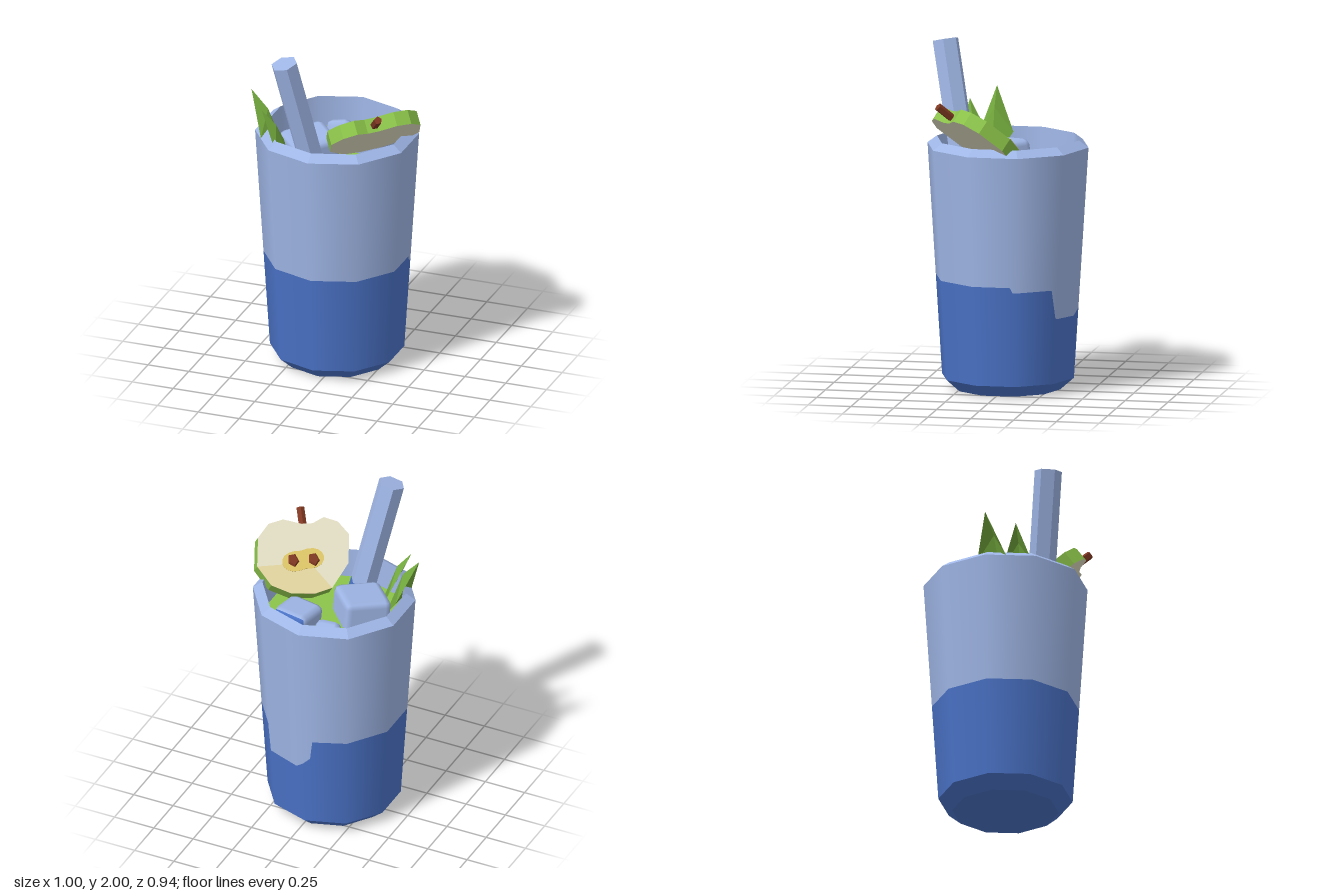
import * as THREE from 'three';
import { RoundedBoxGeometry } from 'three/addons/geometries/RoundedBoxGeometry.js';

const mat = (name, color, both) => {
  const m = new THREE.MeshStandardMaterial({ color });
  m.name = name;
  if (both) m.side = THREE.DoubleSide;
  return m;
};
const MAT = {
  glass: mat('pale blue', 0x9fb6e6, true),
  deep: mat('deep blue', 0x4a72c6, true),
  green: mat('apple green', 0x8bc34a),
  leaf: mat('leaf green', 0x72a83c, true),
  cream: mat('cream flesh', 0xe4e1c6),
  tan: mat('tan flesh', 0xe3d6a0),
  core: mat('yellow core', 0xe0c868),
  brown: mat('brown', 0x803822),
};

function add(parent, name, geometry, material, x = 0, y = 0, z = 0) {
  const m = new THREE.Mesh(geometry, material);
  m.name = name;
  m.position.set(x, y, z);
  parent.add(m);
  return m;
}

const flat = (g) => {
  const n = g.index ? g.toNonIndexed() : g;
  n.computeVertexNormals();
  return n;
};

// Rod between two points
function rod(parent, name, a, b, r, sides, material) {
  const p = new THREE.Vector3(...a), q = new THREE.Vector3(...b);
  const m = add(parent, name, flat(new THREE.CylinderGeometry(r, r, p.distanceTo(q), sides)), material);
  m.position.copy(p).add(q).multiplyScalar(0.5);
  m.quaternion.setFromUnitVectors(new THREE.Vector3(0, 1, 0), q.sub(p).normalize());
  return m;
}

// Ten-sided tapering wall between two heights that may change with the angle
const SLOPE = (0.47 - 0.385) / 1.34;
function wall(columns, from, to) {
  const pos = [], nor = [], idx = [];
  columns.forEach(([deg, level], i) => {
    const t = THREE.MathUtils.degToRad(deg);
    const k = Math.cos(Math.PI / 10) / Math.cos(THREE.MathUtils.degToRad((deg % 36) - 18));
    for (const y of [from ?? level, to ?? level]) {
      const r = (0.385 + (y - 0.07) * SLOPE) * k;
      pos.push(r * Math.sin(t), y, r * Math.cos(t));
      nor.push(Math.sin(t), -SLOPE, Math.cos(t));
    }
    if (i) {
      const a = 2 * i - 2;
      idx.push(a, a + 2, a + 3, a, a + 3, a + 1);
    }
  });
  const g = new THREE.BufferGeometry();
  g.setAttribute('position', new THREE.Float32BufferAttribute(pos, 3));
  g.setAttribute('normal', new THREE.Float32BufferAttribute(nor, 3));
  g.setIndex(idx);
  return g;
}

// Folded leaf: tip, two side corners, raised crease and base
function leaf(parent, name, T, A, B, M, R) {
  const tris = [T, A, M, A, R, M, T, M, B, M, R, B];
  const g = new THREE.BufferGeometry();
  g.setAttribute('position', new THREE.Float32BufferAttribute(tris.flat(), 3));
  g.computeVertexNormals();
  add(parent, name, g, MAT.leaf);
}

// Flat plate from an outline
const plate = (pts, depth) => new THREE.ExtrudeGeometry(
  new THREE.Shape(pts.map(([h, v]) => new THREE.Vector2(-h, v))), { depth, bevelEnabled: false });

export function createModel() {
  const root = new THREE.Group();
  root.name = 'iced apple drink';

  // Glass, with an uneven deep blue lower band
  const cup = new THREE.Group();
  cup.name = 'glass';
  cup.position.set(-0.036, 0, -0.008);
  root.add(cup);
  const columns = [[0, 0.65], [36, 0.65], [72, 0.65], [103, 0.65], [105, 0.62], [108, 0.62], [139, 0.62],
    [143, 0.46], [144, 0.45], [173, 0.44], [180, 0.48], [186, 0.52], [188, 0.64], [216, 0.65], [252, 0.65],
    [288, 0.65], [324, 0.65], [360, 0.65]];
  add(cup, 'lowerWall', wall(columns, 0.07, null), MAT.deep);
  add(cup, 'upperWall', wall(columns, null, 1.41), MAT.glass);
  add(cup, 'base', flat(new THREE.CylinderGeometry(0.385, 0.305, 0.07, 10)), MAT.deep, 0, 0.035);
  add(cup, 'rim', flat(new THREE.CylinderGeometry(0.415, 0.47, 0.04, 10, 1, true)), MAT.glass, 0, 1.43);
  add(cup, 'innerWall', new THREE.CylinderGeometry(0.415, 0.402, 0.2, 10, 1, true), MAT.glass, 0, 1.35);
  add(cup, 'liquid', flat(new THREE.CylinderGeometry(0.404, 0.404, 0.02, 10)), MAT.green, 0, 1.26);

  // Straw
  rod(root, 'straw', [-0.207, 1.98, 0.392], [-0.088, 1.34, 0.268], 0.078, 6, MAT.glass);
  rod(root, 'strawEnd', [-0.088, 1.34, 0.268], [-0.071, 1.25, 0.25], 0.078, 6, MAT.deep);

  // Ice cubes: pale with deep blue undersides and some deep blue sides
  const ice = (name, size, pos, rot, blueSides) => {
    const mats = Array.from({ length: 6 }, (_, i) => (blueSides.includes(i) ? MAT.deep : MAT.glass));
    const m = add(root, name, new RoundedBoxGeometry(...size, 1, 0.04), mats, ...pos);
    m.rotation.set(...rot);
  };
  ice('iceLarge', [0.28, 0.25, 0.27], [-0.175, 1.285, 0.06], [0.08, 0.75, 0.05], [3]);
  ice('iceMedium', [0.22, 0.2, 0.22], [0.122, 1.27, -0.165], [0.1, -0.12, 0.06], [3, 5]);
  ice('iceSmall', [0.15, 0.18, 0.17], [-0.105, 1.27, -0.25], [-0.5, 0.15, 0.2], [3, 5]);

  // Leaves
  leaf(root, 'leafOuter', [-0.5, 1.67, 0.15], [-0.405, 1.42, 0.035], [-0.41, 1.41, 0.235],
    [-0.4, 1.56, 0.145], [-0.29, 1.25, 0.14]);
  leaf(root, 'leafInner', [-0.385, 1.61, 0.285], [-0.305, 1.38, 0.14], [-0.28, 1.38, 0.335],
    [-0.31, 1.52, 0.255], [-0.22, 1.25, 0.225]);

  // Apple slice, leaning outward over the rim; local z is the normal of its upper face
  const apple = new THREE.Group();
  apple.name = 'appleSlice';
  const tilt = THREE.MathUtils.degToRad(40);
  const X = new THREE.Vector3(-Math.SQRT1_2, 0, Math.SQRT1_2);
  const Y = new THREE.Vector3(Math.SQRT1_2 * Math.cos(tilt), Math.sin(tilt), Math.SQRT1_2 * Math.cos(tilt));
  apple.quaternion.setFromRotationMatrix(new THREE.Matrix4().makeBasis(X, Y, X.clone().cross(Y)));
  apple.position.set(0.22, 1.545, 0.11);
  root.add(apple);
  const outline = [[-0.113, -0.24], [-0.004, -0.254], [0.13, -0.226], [0.233, -0.157], [0.286, -0.032],
    [0.237, 0.134], [0.156, 0.203], [0.064, 0.212], [-0.035, 0.166], [-0.099, 0.157], [-0.173, 0.18],
    [-0.247, 0.138], [-0.293, 0.051], [-0.244, -0.115]];
  add(apple, 'fleshAndSkin', plate(outline, 0.085), [MAT.cream, MAT.green], 0, 0, -0.085);
  add(apple, 'tanFlesh', plate([...outline.slice(0, 5), [0.13, -0.05], [-0.04, -0.1]], 0.003), MAT.tan);
  const core = [];
  for (let i = 0; i < 20; i++) {
    const a = (i / 20) * Math.PI * 2;
    core.push([0.012 + 0.125 * Math.cos(a), -0.045 + (0.055 + 0.025 * Math.abs(Math.cos(a))) * Math.sin(a)]);
  }
  add(apple, 'core', plate(core, 0.006), MAT.core);
  for (const [h, v] of [[-0.05, -0.055], [0.07, -0.037]]) {
    const seed = add(apple, 'seed', flat(new THREE.CylinderGeometry(0.026, 0.04, 0.016, 5)), MAT.brown, -h, v, 0.008);
    seed.rotation.x = Math.PI / 2;
    seed.scale.z = 1.2;
  }
  rod(root, 'stem', [0.275, 1.59, 0.23], [0.343, 1.685, 0.325], 0.024, 5, MAT.brown);

  return root;
}
